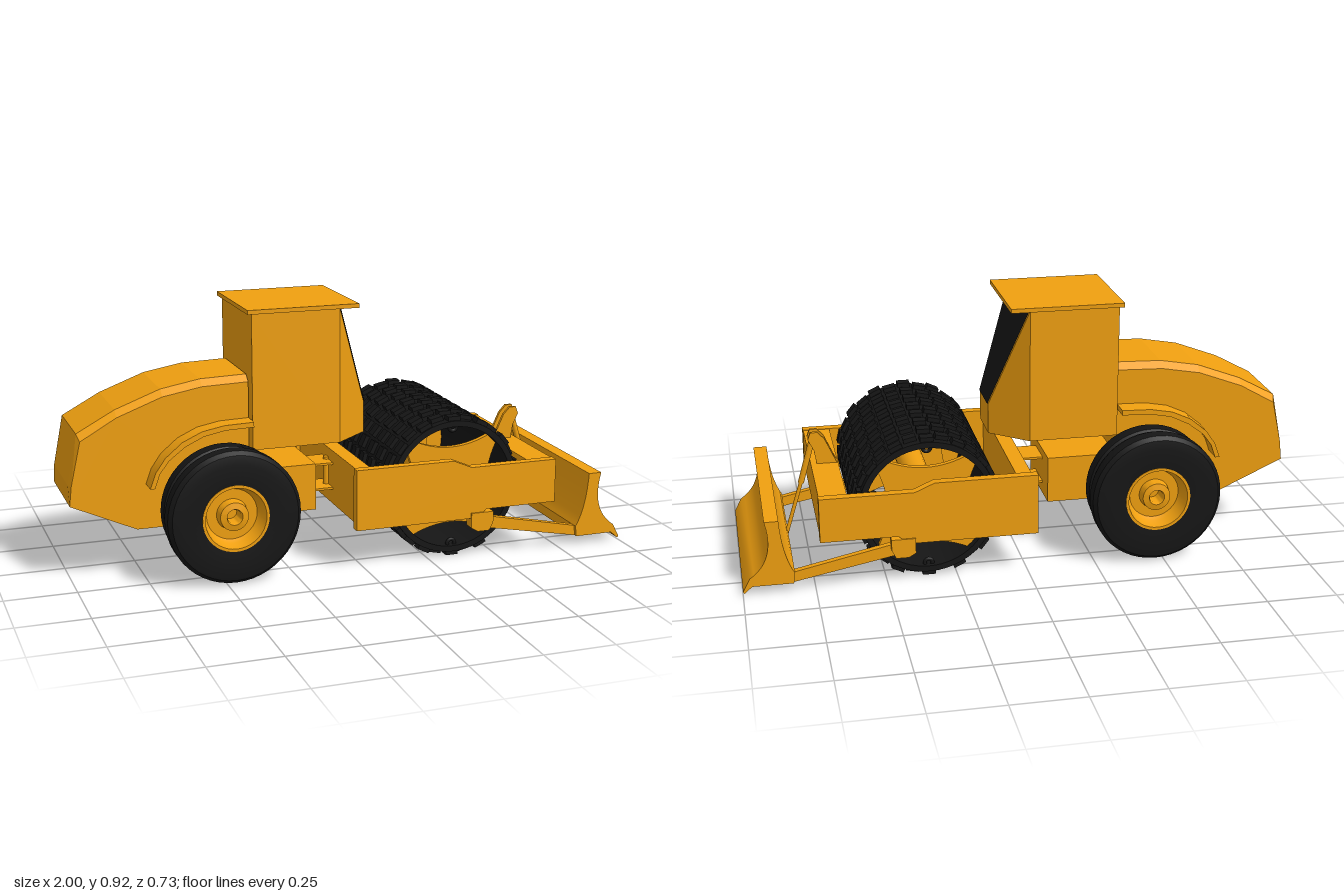
import * as THREE from 'three';
import { toCreasedNormals } from 'three/addons/utils/BufferGeometryUtils.js';
import { ConvexGeometry } from 'three/addons/geometries/ConvexGeometry.js';

const yellow = new THREE.MeshStandardMaterial({ color: 0xf0a010, side: THREE.DoubleSide });
const black = new THREE.MeshStandardMaterial({ color: 0x161616, side: THREE.DoubleSide });

export function createModel() {
  const model = new THREE.Group();
  model.name = 'soilCompactor';

  const add = (name, geometry, material = yellow, parent = model) => {
    const mesh = new THREE.Mesh(geometry, material);
    mesh.name = name;
    parent.add(mesh);
    return mesh;
  };
  // Box given by its lower and upper corner
  const box = (name, a, b) => {
    const mesh = add(name, new THREE.BoxGeometry(b[0] - a[0], b[1] - a[1], b[2] - a[2]));
    mesh.position.set((a[0] + b[0]) / 2, (a[1] + b[1]) / 2, (a[2] + b[2]) / 2);
  };
  // Side outline extruded from z0 to z1
  const outline = points => new THREE.Shape(points.map(p => new THREE.Vector2(...p)));
  const plate = (name, shape, z0, z1, parent = model) => {
    const geometry = new THREE.ExtrudeGeometry(shape, { depth: z1 - z0, bevelEnabled: false });
    add(name, toCreasedNormals(geometry.translate(0, 0, z0), 0.6), yellow, parent);
  };
  const hull = (name, points) =>
    add(name, new ConvexGeometry(points.map(p => new THREE.Vector3(...p))));
  // Lathe turned so that its axis runs along z
  const turned = (profile, segments = 40) => toCreasedNormals(
    new THREE.LatheGeometry(profile.map(p => new THREE.Vector2(...p)), segments).rotateX(Math.PI / 2), 0.6);
  const rod = (name, a, b, radius) => {
    const p = new THREE.Vector3(...a), q = new THREE.Vector3(...b);
    const mesh = add(name, new THREE.CylinderGeometry(radius, radius, p.distanceTo(q), 16));
    mesh.position.copy(p).lerp(q, 0.5);
    mesh.quaternion.setFromUnitVectors(new THREE.Vector3(0, 1, 0), q.sub(p).normalize());
  };

  // Engine hood with chamfered top edges
  const hoodTop = [[-1, 0.35], [-0.965, 0.527], [-0.83, 0.6], [-0.67, 0.66], [-0.53, 0.685], [-0.365, 0.69]];
  const hoodBottom = [[-1, 0.28], [-0.77, 0.175], [-0.365, 0.175]];
  const hoodPoints = [];
  for (const s of [-1, 1]) {
    hoodTop.forEach(([x, y], i) => {
      hoodPoints.push([x, y, s * 0.135], [x + (i < 2 ? 0.008 : 0), y - (i ? 0.022 : 0), s * 0.162]);
    });
    hoodBottom.forEach(([x, y]) => hoodPoints.push([x, y, s * 0.162]));
  }
  hull('hood', hoodPoints);

  // Rear chassis and articulated joint
  box('rearChassis', [-0.5, 0.175, -0.15], [-0.115, 0.345, 0.15]);
  for (const y of [0.218, 0.312]) box('jointPlate', [-0.13, y - 0.004, -0.06], [-0.01, y + 0.004, 0.06]);
  rod('jointPin', [-0.025, 0.205, 0], [-0.025, 0.325, 0], 0.012);

  // Cab, windscreen and roof
  const cabPoints = [];
  for (const s of [-1, 1]) {
    for (const y of [0.43, 0.912]) cabPoints.push([-0.36, y, s * 0.19 + 0.005], [-0.04, y, s * 0.19 + 0.005]);
    for (const y of [0.43, 0.54]) cabPoints.push([0.09, y, s * 0.079 + 0.005]);
  }
  hull('cab', cabPoints);
  const screen = new THREE.BufferGeometry();
  screen.setAttribute('position', new THREE.Float32BufferAttribute([
    0.093, 0.541, 0.084, 0.093, 0.541, -0.074, -0.037, 0.913, -0.185, -0.037, 0.913, 0.195], 3));
  screen.setIndex([0, 1, 2, 0, 2, 3]);
  screen.computeVertexNormals();
  add('windscreen', screen, black);
  box('roof', [-0.375, 0.91, -0.198], [0.03, 0.925, 0.2]);

  // Rear fenders: a thin band following the wheel
  const arch = [[-0.735, 0.335], [-0.715, 0.39], [-0.68, 0.44], [-0.62, 0.49], [-0.55, 0.522], [-0.47, 0.537], [-0.365, 0.54]];
  const archInside = arch.map(([x, y], i) => [x + 0.017 * (1 - i / 6), y - 0.018 * Math.min(1, i / 3)]);
  const fender = outline([...arch, ...archInside.reverse()]);
  plate('rightFender', fender, -0.235, -0.15);
  plate('leftFender', fender, 0.15, 0.23);

  // Rear wheels
  const tyre = turned([[0.117, 0.175], [0.18, 0.17], [0.215, 0.18], [0.225, 0.2], [0.225, 0.25], [0.215, 0.255],
    [0.215, 0.275], [0.228, 0.28], [0.235, 0.3], [0.235, 0.345], [0.222, 0.36], [0.19, 0.365], [0.117, 0.36], [0.117, 0.175]], 48);
  const rim = turned([[0.118, 0.18], [0.118, 0.362], [0.108, 0.362], [0.1, 0.32], [0.09, 0.305],
    [0.055, 0.305], [0.05, 0.34], [0.028, 0.345], [0.024, 0.335], [0.024, 0.28], [0, 0.28]]);
  for (const s of [-1, 1]) {
    const wheel = new THREE.Group();
    wheel.name = s > 0 ? 'leftWheel' : 'rightWheel';
    wheel.position.set(-0.47, 0.243, 0);
    if (s < 0) wheel.rotation.y = Math.PI;
    add('tyre', tyre, black, wheel);
    add('rim', rim, yellow, wheel);
    model.add(wheel);
  }
  rod('rearAxle', [-0.47, 0.243, -0.28], [-0.47, 0.243, 0.28], 0.05);

  // Front frame around the drum
  const frame = outline([[-0.035, 0.15], [0.42, 0.15], [0.46, 0.18], [0.73, 0.18],
    [0.73, 0.34], [0.4, 0.34], [0.33, 0.37], [-0.035, 0.37]]);
  for (const s of [-1, 1]) plate('frameSide', frame, s * 0.343 - 0.017, s * 0.343 + 0.017);
  box('frameRearBeam', [-0.02, 0.16, -0.33], [0.035, 0.36, 0.33]);
  box('frameFrontBeam', [0.63, 0.19, -0.33], [0.728, 0.338, 0.33]);

  // Padded drum: open shell, scalloped end discs and staggered pads
  const drum = new THREE.Group();
  drum.name = 'drum';
  drum.position.set(0.348, 0.262, 0);
  model.add(drum);
  add('drumShell', turned([[0.222, -0.32], [0.243, -0.32], [0.243, 0.32], [0.222, 0.32], [0.222, -0.32]], 64), black, drum);
  const disc = new THREE.Shape();
  const polar = (r, t) => [r * Math.cos(t), r * Math.sin(t)];
  const halfCut = 0.69;
  disc.moveTo(...polar(0.225, -halfCut));
  for (let k = 0; k < 4; k++) {
    const a = k * Math.PI / 2;
    disc.quadraticCurveTo(...polar(0.106, a), ...polar(0.225, a + halfCut));
    disc.lineTo(...polar(0.225, a + Math.PI / 2 - halfCut));
  }
  for (const z of [-0.29, 0.27]) plate('drumDisc', disc, z, z + 0.02, drum);
  add('drumAxle', new THREE.CylinderGeometry(0.05, 0.05, 0.66, 24).rotateX(Math.PI / 2), yellow, drum);
  const pad = new THREE.BoxGeometry(0.022, 0.046, 0.038);
  const rows = 28;
  for (let i = 0; i < rows; i++) {
    const a = (i / rows) * Math.PI * 2, odd = i % 2;
    for (let j = 0; j < 7 + odd; j++) {
      const mesh = add('drumPad', pad, black, drum);
      mesh.position.set(...polar(0.247, a), (j - (6 + odd) / 2) * (odd ? 0.084 : 0.09));
      mesh.rotation.z = a;
    }
  }
  for (const s of [-1, 1]) for (const z of [-0.3, 0.3]) {
    const plug = add('drumPlug', new THREE.TorusGeometry(0.014, 0.007, 8, 16), black, drum);
    plug.position.set(0, s * 0.217, z);
  }

  // Blade push arms with pivot brackets
  const arm = outline([[0.44, 0.11], [0.83, 0.035], [0.83, 0.072], [0.44, 0.155]]);
  const pivot = outline([[0.4, 0.17], [0.4, 0.115], [0.425, 0.1], [0.47, 0.1], [0.485, 0.13], [0.485, 0.17]]);
  for (const s of [-1, 1]) {
    plate('bladeArm', arm, s * 0.335 - 0.012, s * 0.335 + 0.012);
    plate('armBracket', pivot, s * 0.343 - 0.022, s * 0.343 + 0.022);
  }

  // Curved levelling blade with cutting edge
  const blade = new THREE.Shape();
  blade.moveTo(0.825, 0.036);
  blade.lineTo(0.968, 0.036);
  blade.lineTo(0.995, 0.012);
  blade.lineTo(1, 0.018);
  blade.lineTo(0.975, 0.066);
  blade.quadraticCurveTo(0.88, 0.13, 0.917, 0.272);
  blade.lineTo(0.868, 0.272);
  blade.quadraticCurveTo(0.86, 0.14, 0.82, 0.075);
  plate('blade', blade, -0.358, 0.36);

  // Blade lift bracket and hydraulic ram
  const bracket = outline([[0.63, 0.33], [0.675, 0.43], [0.7, 0.457], [0.725, 0.457], [0.735, 0.43], [0.715, 0.39], [0.705, 0.33]]);
  for (const z of [-0.015, 0.021]) plate('liftBracket', bracket, z - 0.006, z + 0.006);
  rod('liftPin', [0.715, 0.432, -0.02], [0.715, 0.432, 0.026], 0.012);
  rod('ramCylinder', [0.715, 0.435, 0.003], [0.765, 0.26, 0.003], 0.011);
  rod('ramRod', [0.765, 0.26, 0.003], [0.825, 0.065, 0.003], 0.007);

  return model;
}
